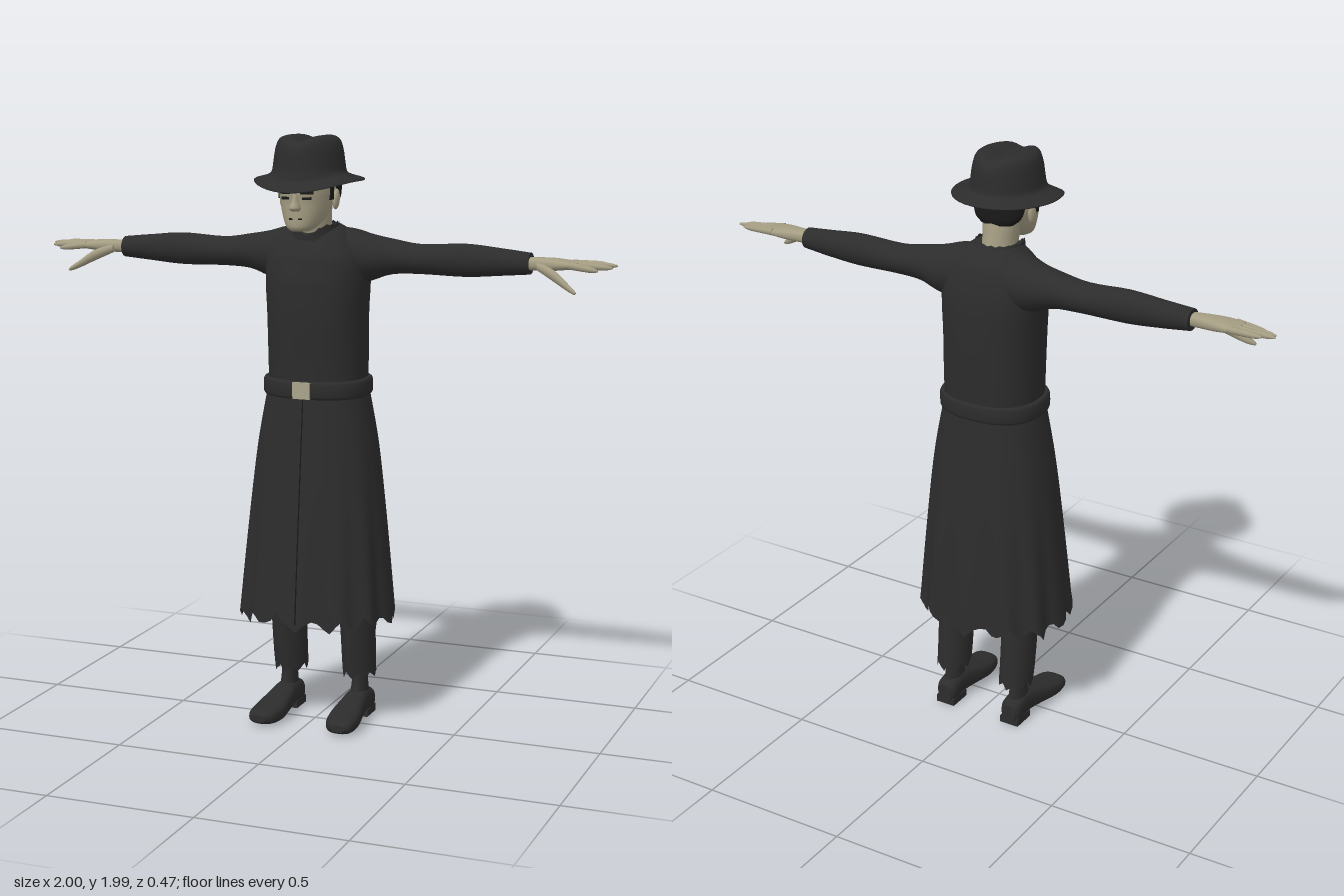
import * as THREE from 'three';

const mat = (name, color, side = THREE.FrontSide) => {
  const m = new THREE.MeshStandardMaterial({ color });
  m.name = name;
  m.side = side;
  return m;
};

// Skin between cross-sections. Each row is [position, aMin, aMax, bMin, bMax];
// a,b are (x,z) along y, (y,z) along x and (x,y) along z.
function loft(axis, rows, o = {}) {
  const { seg = 24, steps = 4, n = 2, cap = true, warp } = o;
  const mid = new THREE.CatmullRomCurve3(rows.map(r => new THREE.Vector3(r[0], (r[1] + r[2]) / 2, (r[3] + r[4]) / 2)), false, 'catmullrom');
  const rad = new THREE.CatmullRomCurve3(rows.map(r => new THREE.Vector3(0, (r[2] - r[1]) / 2, (r[4] - r[3]) / 2)), false, 'catmullrom');
  const place = (p, a, b) => axis === 'x' ? new THREE.Vector3(p, a, b)
    : axis === 'y' ? new THREE.Vector3(a, p, b) : new THREE.Vector3(a, b, p);
  const flip = (axis === 'y') !== (rows[0][0] > rows[rows.length - 1][0]);
  const pos = [], idx = [], count = (rows.length - 1) * steps;
  const tri = (a, b, c) => flip ? idx.push(a, c, b) : idx.push(a, b, c);
  const pw = v => Math.sign(v) * Math.pow(Math.abs(v), 2 / n);
  const ring = t => {
    const c = mid.getPoint(t), r = rad.getPoint(t);
    for (let j = 0; j < seg; j++) {
      const th = j / seg * Math.PI * 2;
      const v = place(c.x, c.y + r.y * pw(Math.cos(th)), c.z + r.z * pw(Math.sin(th)));
      if (warp) warp(v, t, th, j);
      pos.push(v.x, v.y, v.z);
    }
    return c;
  };
  for (let i = 0; i <= count; i++) ring(i / count);
  for (let i = 0; i < count; i++) for (let j = 0; j < seg; j++) {
    const a = i * seg + j, b = i * seg + (j + 1) % seg;
    tri(a, b, a + seg);
    tri(b, b + seg, a + seg);
  }
  if (cap) for (const t of [0, 1]) {
    const base = pos.length / 3, c = ring(t), v = place(c.x, c.y, c.z);
    if (warp) warp(v, t, 0, 0);
    pos.push(v.x, v.y, v.z);
    for (let j = 0; j < seg; j++) {
      const a = base + j, b = base + (j + 1) % seg;
      t ? tri(a, b, base + seg) : tri(b, a, base + seg);
    }
  }
  const g = new THREE.BufferGeometry();
  g.setAttribute('position', new THREE.Float32BufferAttribute(pos, 3));
  g.setIndex(idx);
  g.computeVertexNormals();
  return g;
}

// Mirror a geometry across x = 0, keeping its faces outward
function mirrored(geo) {
  const g = geo.clone().scale(-1, 1, 1), ix = g.index.array;
  for (let i = 0; i < ix.length; i += 3) [ix[i], ix[i + 1]] = [ix[i + 1], ix[i]];
  g.computeVertexNormals();
  return g;
}

export function createModel() {
  const model = new THREE.Group();
  const coat = mat('coat black', 0x2c2c2c), cloth = mat('cloth black', 0x2c2c2c, THREE.DoubleSide);
  const skin = mat('skin', 0xa39c82), dark = mat('hair black', 0x191919), metal = mat('buckle', 0xaaa48a);
  const add = (name, geo, m) => {
    const mesh = new THREE.Mesh(geo, m);
    mesh.name = name;
    model.add(mesh);
  };
  const pair = (name, geo, m) => {
    add('left ' + name, geo, m);
    add('right ' + name, mirrored(geo), m);
  };
  // Symmetric row along y: half width, back, front
  const s = (y, w, z0, z1) => [y, -w, w, z0, z1];
  const box = (w, h, d, x, y, z, ry = 0) => new THREE.BoxGeometry(w, h, d).rotateY(ry).translate(x, y, z);

  // Coat body
  const torso = [s(1.12, .163, -.17, .11), s(1.25, .165, -.175, .115), s(1.4, .166, -.178, .125),
    s(1.52, .172, -.175, .122), s(1.6, .165, -.16, .105), s(1.66, .125, -.135, .075), s(1.695, .08, -.085, .05)];
  add('coat body', loft('y', torso, { seg: 40, n: 2.4 }), coat);

  // Lapels: thin curved plates lying on the chest
  const lapel = new THREE.PlaneGeometry(1, 1, 8, 14), lp = lapel.attributes.position;
  for (let i = 0; i < lp.count; i++) {
    const v = lp.getY(i) + .5, y = 1.45 + .2 * v;
    const x = (lp.getX(i) + .5) * (.015 + .1 * Math.sin(Math.min(1, v * 1.05) * 2.5));
    const k = torso.findIndex(r => r[0] > y), a = torso[k - 1], b = torso[k], f = (y - a[0]) / (b[0] - a[0]);
    const [w, z0, z1] = [2, 3, 4].map(c => a[c] + (b[c] - a[c]) * f);
    const z = (z0 + z1) / 2 + (z1 - z0) / 2 * Math.pow(1 - Math.pow(Math.min(1, x / w), 2.4), 1 / 2.4);
    lp.setXYZ(i, x, y, z + .008);
  }
  lapel.computeVertexNormals();
  pair('lapel', lapel, cloth);

  // Stand collar, dipping at the throat
  add('collar', loft('y', [s(1.645, .1, -.115, .085), s(1.675, .085, -.095, .085), s(1.705, .08, -.075, .085)], {
    cap: false, seg: 36, warp: (v, t, th, j) => {
      v.y -= t * (.035 * Math.max(0, Math.sin(th)) ** 6 + (j % 2) * .006);
    },
  }), cloth);

  // Belt and buckle
  add('belt', loft('y', [s(1.13, .172, -.175, .118), s(1.14, .18, -.182, .125), s(1.18, .18, -.182, .125), s(1.19, .172, -.175, .118)],
    { seg: 40, n: 2.4, steps: 2 }), coat);
  add('buckle', box(.06, .055, .014, 0, 1.16, .124), metal);

  // Coat skirt with folds and a ragged hem
  const skirt = [s(1.15, .168, -.172, .112), s(.95, .205, -.192, .132), s(.7, .235, -.212, .158), s(.38, .268, -.232, .188)];
  add('coat skirt', loft('y', skirt, {
    seg: 80, n: 2.4, cap: false, steps: 6, warp: (v, t, th, j) => {
      const k = 1 + .035 * t * t * (Math.cos(12 * th) - 1);
      v.x *= k;
      v.z = -.02 + (v.z + .02) * k;
      if (t > .99) v.y += [-.03, -.012, .01, .028, 0][j % 5] * (.7 + .4 * Math.sin(j * 1.7));
    },
  }), cloth);
  add('front seam', loft('y', skirt.map(r => [r[0], -.003, .003, r[4] - .006, r[4] + .002]), { seg: 6, steps: 6 }), dark);

  // Sleeves
  pair('sleeve', loft('x', [[.05, 1.5, 1.69, -.13, .04], [.12, 1.5, 1.682, -.14, .05], [.18, 1.512, 1.665, -.135, .03],
    [.25, 1.535, 1.652, -.12, .01], [.35, 1.54, 1.638, -.113, 0], [.5, 1.537, 1.645, -.105, -.01],
    [.62, 1.546, 1.635, -.1, -.014], [.72, 1.555, 1.625, -.09, -.014]]), coat);

  // Hands
  pair('palm', loft('x', [[.7, 1.57, 1.61, -.07, -.025], [.74, 1.57, 1.612, -.075, -.018], [.8, 1.572, 1.612, -.084, -.005],
    [.85, 1.578, 1.607, -.088, .002], [.88, 1.583, 1.603, -.084, -.002]], { n: 2.5 }), skin);
  // Finger: base z, tip z, tip x, tip y
  [[-.077, -.086, .965, 1.595], [-.055, -.064, 1, 1.593], [-.032, -.035, .99, 1.588], [-.01, -.006, .95, 1.58]].forEach(([z0, z1, x1, y1], i) => {
    const rows = [0, .4, .8, 1].map((t, k) => {
      const r = [.012, .011, .009, .003][k], y = 1.594 + (y1 - 1.594) * t, z = z0 + (z1 - z0) * t;
      return [.85 + (x1 - .85) * t, y - r, y + r, z - r, z + r];
    });
    pair('finger ' + (i + 1), loft('x', rows, { seg: 10, steps: 3 }), skin);
  });
  pair('thumb', loft('x', [[.75, 1.572, 1.6, -.035, -.008], [.81, 1.543, 1.58, -.01, .022], [.86, 1.518, 1.543, .015, .04],
    [.885, 1.509, 1.524, .033, .048], [.892, 1.51, 1.516, .038, .046]], { seg: 12 }), skin);

  // Trousers, ankles and shoes
  pair('trouser leg', loft('y', [[1, .005, .15, -.12, .05], [.7, .03, .175, -.135, .025], [.4, .063, .185, -.143, .002],
    [.14, .07, .182, -.165, -.028]], {
    cap: false, warp: (v, t, th, j) => { if (t > .99) v.y += (j % 3) * .012; },
  }), cloth);
  pair('ankle', loft('y', [[.3, .1, .16, -.13, -.045], [.15, .105, .155, -.128, -.052], [.07, .1, .16, -.14, -.03]]), coat);
  pair('shoe', loft('z', [[-.157, .105, .155, .01, .075], [-.135, .093, .168, .006, .09], [-.07, .092, .168, .012, .1],
    [0, .085, .178, .008, .085], [.08, .08, .19, 0, .066], [.14, .093, .187, .004, .055], [.165, .118, .168, .016, .04]], { n: 2.7 }), coat);
  pair('heel', box(.07, .025, .085, .13, .0125, -.111), coat);

  // Neck, head and features
  add('neck', loft('y', [s(1.62, .06, -.085, .05), s(1.7, .056, -.062, .075), s(1.78, .065, -.045, .09)]), skin);
  add('head', loft('y', [s(1.686, .03, .1, .165), s(1.7, .05, .06, .176), s(1.735, .071, 0, .177), s(1.78, .085, -.032, .176),
    s(1.82, .09, -.042, .18), s(1.88, .09, -.042, .17)], { seg: 32 }), skin);
  add('nose', loft('y', [s(1.752, .013, .16, .186), s(1.762, .019, .15, .203), s(1.785, .012, .15, .192), s(1.815, .009, .15, .182)], { seg: 12 }), skin);
  add('mouth', box(.044, .005, .008, 0, 1.727, .172), dark);
  pair('eye', box(.03, .009, .008, .036, 1.793, .166, .3), dark);
  pair('eyebrow', box(.042, .009, .009, .037, 1.811, .169, .3), dark);
  pair('ear', new THREE.SphereGeometry(1, 14, 10).scale(.011, .034, .02).rotateX(-.2).translate(.092, 1.785, .05), skin);
  pair('sideburn', box(.009, .06, .022, .088, 1.815, .082, -.1), dark);
  add('hair', loft('y', [s(1.762, .06, -.046, .02), s(1.79, .086, -.052, .04), s(1.87, .095, -.052, .075)]), dark);

  // Hat: pinched crown and a brim dipping at the front
  add('hat', loft('y', [s(1.99, .01, .04, .06), s(1.99, .035, .01, .1), s(1.99, .065, -.028, .135), s(1.978, .095, -.06, .165),
    s(1.945, .108, -.074, .179), s(1.9, .115, -.08, .185), s(1.872, .121, -.084, .19), s(1.861, .14, -.1, .205),
    s(1.851, .176, -.132, .236), s(1.845, .174, -.13, .234), s(1.853, .13, -.09, .195), s(1.857, .085, -.04, .165)], {
    seg: 40, steps: 3, warp: v => {
      if (v.y > 1.95) v.y -= .018 * Math.exp(-((v.x / .03) ** 2)) * Math.min(1, (v.y - 1.95) / .03);
      if (v.y < 1.87) v.y -= .03 * Math.max(0, (v.z - .08) / .155) ** 2;
    },
  }), coat);

  return model;
}
